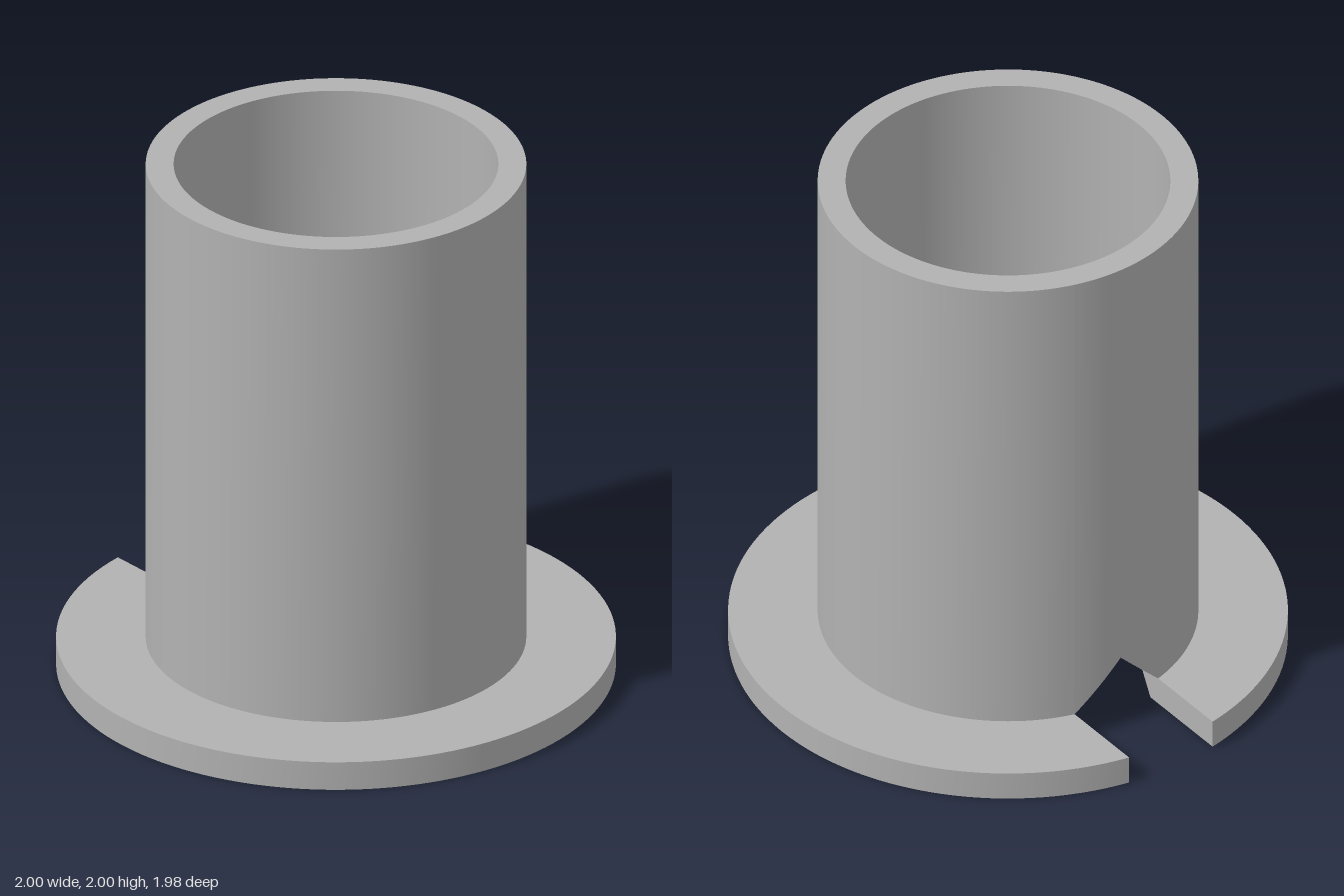
import * as THREE from 'three';
import { mergeGeometries } from 'three/addons/utils/BufferGeometryUtils.js';

const R_FLANGE = 1, R_OUT = 0.68, R_IN = 0.58, R_MOUTH = 0.635;
const H = 2, H_FLANGE = 0.11, SLOT = 0.185; // SLOT is half the slot width
const PEAK = H_FLANGE + SLOT;

// One smooth strip between two rails; point(end, t) gives a position on rail 0 or 1
function strip(point, steps) {
  const pos = [], index = [];
  for (let i = 0; i <= steps; i++) {
    pos.push(...point(0, i / steps), ...point(1, i / steps));
    const a = 2 * i;
    if (i < steps) index.push(a, a + 1, a + 2, a + 1, a + 3, a + 2);
  }
  const g = new THREE.BufferGeometry();
  g.setAttribute('position', new THREE.Float32BufferAttribute(pos, 3));
  g.setIndex(index);
  g.computeVertexNormals();
  return g;
}

// Sweeps a profile of [radius, y] around the axis, leaving a parallel-sided gap at the back
function sweepRing(profile) {
  const parts = [];
  for (let k = 0; k < profile.length - 1; k++) {
    parts.push(strip((end, t) => {
      const [r, y] = profile[k + end];
      const gap = Math.asin(SLOT / r);
      const a = gap + t * (2 * Math.PI - 2 * gap);
      return [r * Math.sin(a), y, -r * Math.cos(a)];
    }, 128));
  }
  return mergeGeometries(parts);
}

// Fills the tube wall over half of the slot, above the sloping roof of the notch
function wallOverSlot(x0, x1) {
  const profile = [[R_IN, null], [R_OUT, null], [R_OUT, H], [R_IN, H], [R_IN, null]];
  const parts = [];
  for (let k = 0; k < 4; k++) {
    parts.push(strip((end, t) => {
      const [r, y] = profile[k + end];
      const x = x0 + t * (x1 - x0);
      return [x, y ?? PEAK - Math.abs(x), -Math.sqrt(r * r - x * x)];
    }, 8));
  }
  return mergeGeometries(parts);
}

// Flat side wall of the slot
function slotWall(side) {
  const at = (r, y) => [side * SLOT, y, -Math.sqrt(r * r - SLOT * SLOT)];
  const low = [at(R_MOUTH, 0), at(R_FLANGE, 0)];
  const high = [at(R_IN, H_FLANGE), at(R_FLANGE, H_FLANGE)];
  const rails = side > 0 ? [low, high] : [high, low];
  return strip((end, t) => rails[end][t], 1);
}

export function createModel() {
  const group = new THREE.Group();
  const grey = new THREE.MeshStandardMaterial({ color: 0xb2b2b2 });
  grey.name = 'plain grey';
  const add = (name, geometry) => {
    const mesh = new THREE.Mesh(geometry, grey);
    mesh.name = name;
    mesh.position.z = -0.01;
    group.add(mesh);
  };

  // Base flange with the flared mouth of the bore
  add('flange', sweepRing([
    [R_IN, H_FLANGE], [R_MOUTH, 0], [R_FLANGE, 0], [R_FLANGE, H_FLANGE], [R_OUT, H_FLANGE],
  ]));
  // Tube wall, rim and bore
  add('tube', sweepRing([[R_OUT, H_FLANGE], [R_OUT, H], [R_IN, H], [R_IN, H_FLANGE]]));
  // Peaked notch at the back
  add('wallOverSlotRight', wallOverSlot(-SLOT, 0));
  add('wallOverSlotLeft', wallOverSlot(0, SLOT));
  for (const side of [-1, 1]) add(side > 0 ? 'slotWallLeft' : 'slotWallRight', slotWall(side));

  return group;
}
